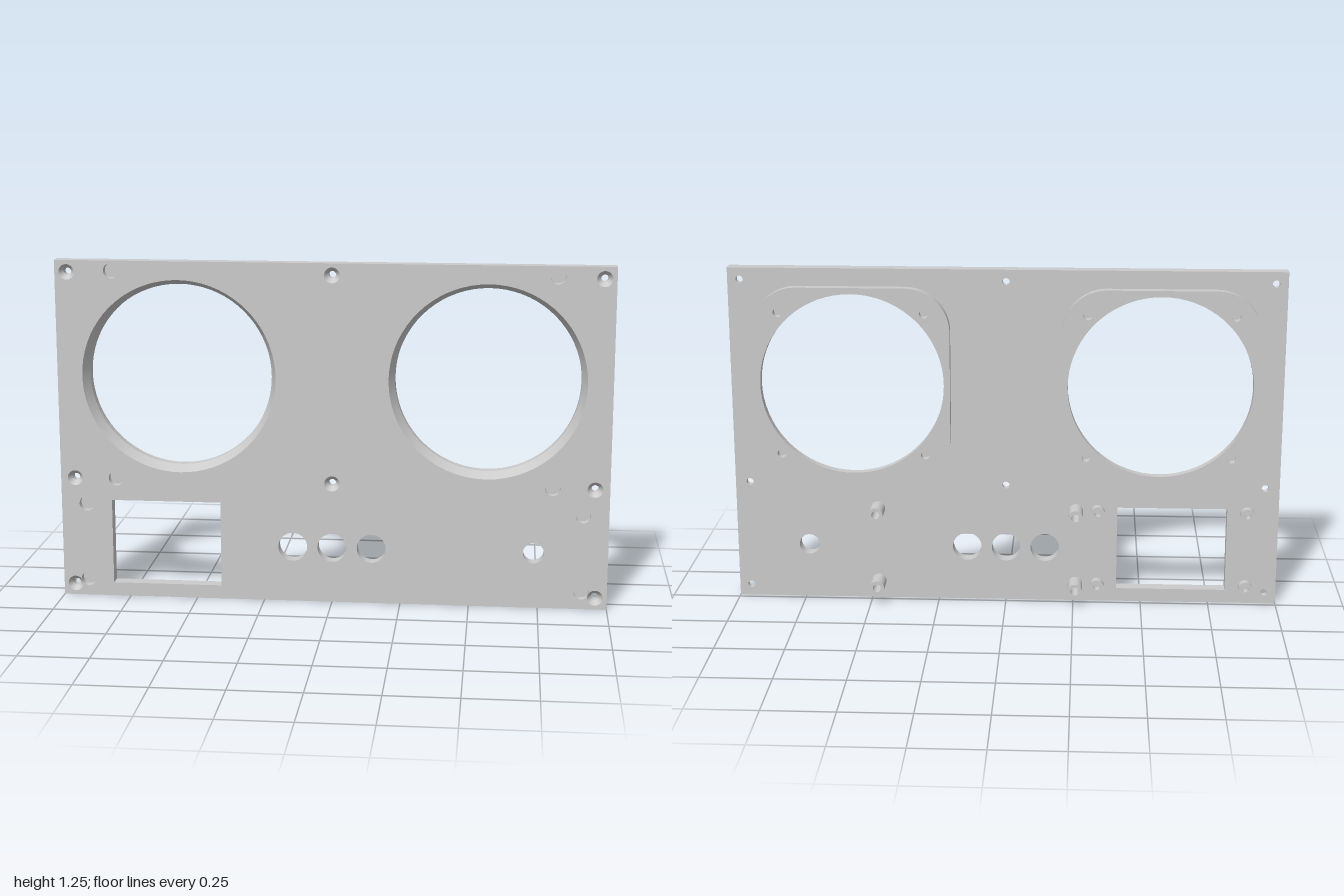
import * as THREE from 'three';

const FRONT = 0.066, BACK = 0.018, PAD = -0.015, TIP = -0.064;
const HEIGHT = 1.25, SEG = 72;
const material = new THREE.MeshStandardMaterial({ color: 0xcccccc, side: THREE.DoubleSide });
const flat = new THREE.MeshStandardMaterial({ color: 0xcccccc, side: THREE.DoubleSide, flatShading: true });

function add(parent, name, geometry, mat = material) {
  const mesh = new THREE.Mesh(geometry, mat);
  mesh.name = name;
  parent.add(mesh);
  return mesh;
}

function rectangle(Type, x, y, w, h) {
  const s = new Type();
  s.moveTo(x - w / 2, y - h / 2).lineTo(x + w / 2, y - h / 2);
  s.lineTo(x + w / 2, y + h / 2).lineTo(x - w / 2, y + h / 2).closePath();
  return s;
}

function roundedSquare(half, r) {
  const s = new THREE.Shape(), k = half - r;
  s.absarc(k, k, r, 0, Math.PI / 2);
  s.absarc(-k, k, r, Math.PI / 2, Math.PI);
  s.absarc(-k, -k, r, Math.PI, Math.PI * 1.5);
  s.absarc(k, -k, r, Math.PI * 1.5, Math.PI * 2);
  return s.closePath();
}

function circle(x, y, r) {
  return new THREE.Path().absarc(x, y, r, 0, Math.PI * 2, true);
}

// Revolved surface along z from [radius, z] points, one crisp band per step
function turned(parent, name, x, y, profile) {
  const group = new THREE.Group();
  group.name = name;
  group.position.set(x, y, 0);
  for (let i = 1; i < profile.length; i++) {
    const pts = [profile[i - 1], profile[i]].map(([r, z]) => new THREE.Vector2(r, z));
    add(group, name + 'Band', new THREE.LatheGeometry(pts, SEG).rotateX(Math.PI / 2));
  }
  parent.add(group);
}

// Four upright walls spanning the plate thickness
function rectWalls(parent, name, x, y, w, h) {
  const g = new THREE.CylinderGeometry(Math.SQRT1_2, Math.SQRT1_2, 1, 4, 1, true);
  g.rotateY(Math.PI / 4).rotateX(Math.PI / 2).scale(w, h, FRONT - BACK);
  g.translate(x, y, (FRONT + BACK) / 2);
  add(parent, name, g, flat);
}

export function createModel() {
  const model = new THREE.Group();
  model.name = 'frontPanel';
  const holes = []; // [name, x, y, profile from front to back]

  // Large speaker openings, tapering through the plate
  const speakers = [-0.556, 0.556], speakerY = 0.83;
  for (const x of speakers) holes.push(['speakerOpening', x, speakerY, [[0.353, FRONT], [0.333, BACK]]]);

  // Countersunk screw holes
  for (const [y, side] of [[1.207, 0.957], [0.447, 0.947], [0.043, 0.957]])
    for (const x of y > 0.1 ? [-side, 0, side] : [-side, side])
      holes.push(['screwHole', x, y, [[0.028, FRONT], [0.013, FRONT - 0.022], [0.013, BACK]]]);

  // Control holes
  for (const x of [-0.144, 0, 0.144]) holes.push(['buttonHole', x, 0.206, [[0.053, FRONT], [0.053, BACK]]]);
  holes.push(['socketHole', 0.732, 0.206, [[0.038, FRONT], [0.038, BACK]]]);

  // Shallow blind recesses in the front
  for (const [x, y] of [[0.795, 1.213], [0.795, 0.448], [0.907, 0.35], [0.907, 0.063]])
    for (const s of [-1, 1])
      holes.push(['blindRecess', s * x, y, [[0.027, FRONT], [0.027, FRONT - 0.03], [0, FRONT - 0.03]]]);

  // Plate faces, pierced by the window and the holes
  const win = [-0.611, 0.208, 0.403, 0.316];
  const faces = [['plateFront', FRONT], ['plateBack', BACK]];
  for (const [name, z] of faces) {
    const shape = rectangle(THREE.Shape, 0, HEIGHT / 2, 2, HEIGHT);
    shape.holes.push(rectangle(THREE.Path, ...win));
    for (const [, x, y, profile] of holes) {
      const end = z === FRONT ? profile[0] : profile[profile.length - 1];
      if (end[0] > 0) shape.holes.push(circle(x, y, end[0]));
    }
    add(model, name, new THREE.ShapeGeometry(shape, SEG / 2).translate(0, 0, z));
  }
  rectWalls(model, 'plateEdge', 0, HEIGHT / 2, 2, HEIGHT);
  rectWalls(model, 'windowEdge', ...win);
  for (const h of holes) turned(model, ...h);

  // Rounded speaker pads on the back, with four fixing holes each
  for (const x of speakers) {
    const shape = roundedSquare(0.355, 0.16);
    shape.holes.push(circle(0, 0, 0.333));
    for (const sx of [-1, 1]) for (const sy of [-1, 1])
      shape.holes.push(circle(sx * 0.263, sy * 0.263, 0.016));
    const g = new THREE.ExtrudeGeometry(shape, { depth: BACK - PAD, bevelEnabled: false, curveSegments: SEG / 2 });
    add(model, 'speakerPad', g).position.set(x, speakerY, PAD);
  }

  // Hollow posts on the back: long standoffs and short window bosses
  const post = (name, x, y, r, ri, tip) =>
    turned(model, name, x, y, [[r, BACK], [r, tip], [ri, tip], [ri, BACK], [0, BACK]]);
  for (const y of [0.35, 0.065]) {
    for (const x of [-0.257, 0.475]) post('standoff', x, y, 0.027, 0.015, TIP);
    for (const x of [-0.886, -0.338]) post('windowBoss', x, y, 0.025, 0.012, -0.012);
  }
  return model;
}
